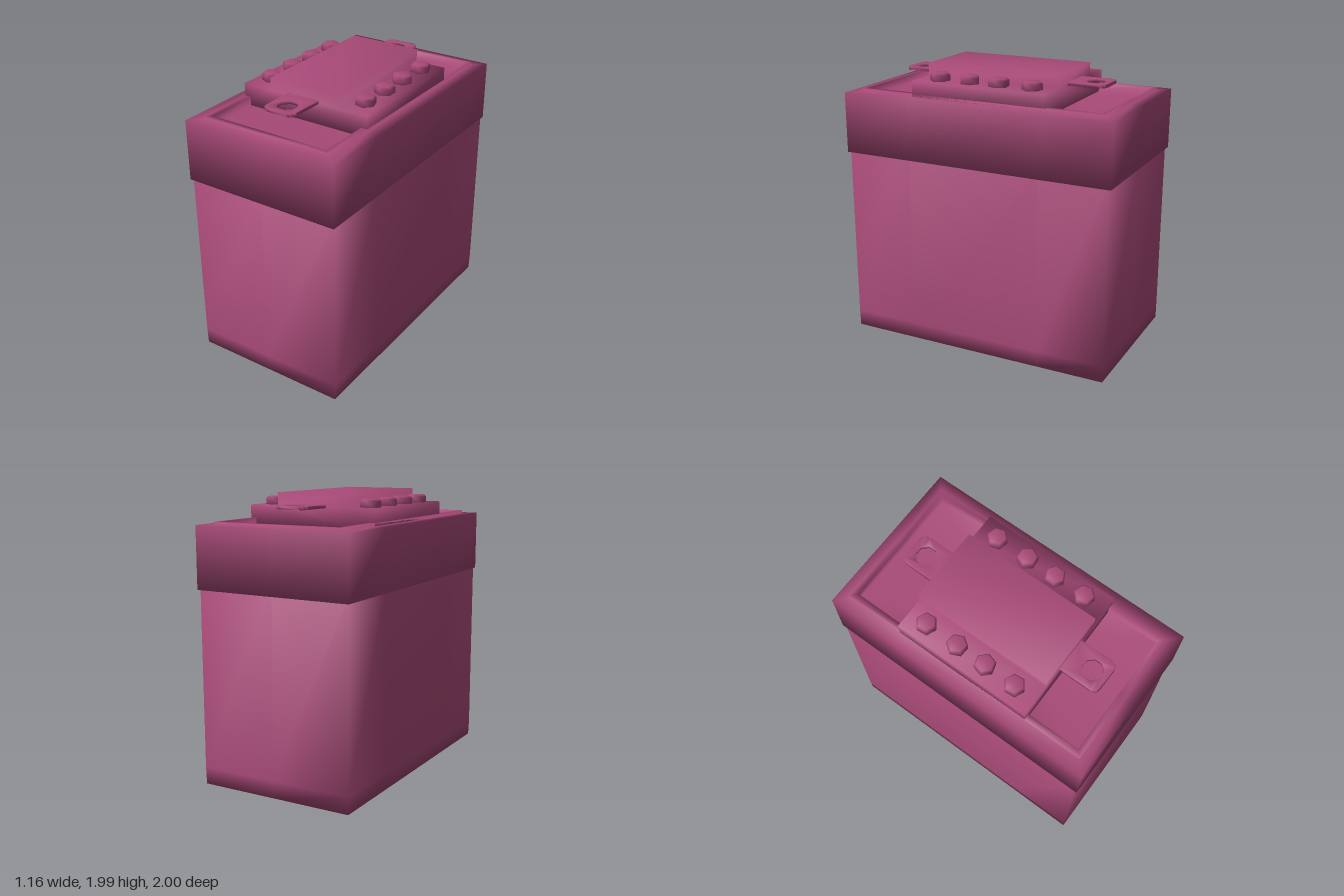
import * as THREE from 'three';
import { mergeVertices } from 'three/addons/utils/BufferGeometryUtils.js';

const material = new THREE.MeshStandardMaterial({ color: 0xa84a78 });

// Shares the vertices of a geometry so that it shades smoothly
function weld(geometry) {
  geometry.deleteAttribute('normal');
  geometry.deleteAttribute('uv');
  const welded = mergeVertices(geometry, 1e-4);
  welded.computeVertexNormals();
  return welded;
}

function part(parent, name, geometry) {
  const mesh = new THREE.Mesh(weld(geometry), material);
  mesh.name = name;
  parent.add(mesh);
  return mesh;
}

// Skins a stack of rectangles [halfX, halfZ, y] and closes both ends
function rectLoft(rings) {
  const outline = [[1, 1], [1, 0.5], [1, -0.5], [1, -1], [0, -1],
    [-1, -1], [-1, -0.5], [-1, 0.5], [-1, 1], [0, 1]];
  const n = outline.length, positions = [], index = [];
  for (const [hx, hz, y] of rings) {
    for (const [x, z] of outline) positions.push(x * hx, y, z * hz);
  }
  const last = (rings.length - 1) * n, bottom = rings.length * n, top = bottom + 1;
  positions.push(0, rings[0][2], 0, 0, rings[rings.length - 1][2], 0);
  for (let i = 0; i < n; i++) {
    const j = (i + 1) % n;
    for (let a = 0; a < last; a += n) {
      index.push(a + i, a + j, a + n + j, a + i, a + n + j, a + n + i);
    }
    index.push(bottom, j, i, top, last + i, last + j);
  }
  const geometry = new THREE.BufferGeometry();
  geometry.setAttribute('position', new THREE.Float32BufferAttribute(positions, 3));
  geometry.setIndex(index);
  return geometry;
}

// Flat lug with rounded outer corners and an octagonal hole, pointing to +z
function lugGeometry(length) {
  const w = 0.12, r = 0.05, start = 0.46;
  const shape = new THREE.Shape();
  shape.moveTo(-w, -start);
  shape.lineTo(-w, -length + r);
  shape.quadraticCurveTo(-w, -length, -w + r, -length);
  shape.lineTo(w - r, -length);
  shape.quadraticCurveTo(w, -length, w, -length + r);
  shape.lineTo(w, -start);
  const hole = [];
  for (let i = 0; i < 8; i++) {
    const a = (i + 0.5) * Math.PI / 4;
    hole.push(new THREE.Vector2(0.073 * Math.cos(a), 0.11 - length + 0.073 * Math.sin(a)));
  }
  shape.holes.push(new THREE.Path(hole));
  return new THREE.ExtrudeGeometry(shape, { depth: 0.022, bevelEnabled: false, curveSegments: 4 })
    .rotateX(-Math.PI / 2);
}

export function createModel() {
  const model = new THREE.Group();
  model.name = 'batteryCase';

  // Tall case, its top tucked inside the lid
  part(model, 'case', rectLoft([[0.565, 0.98, 0], [0.57, 0.98, 0.12], [0.57, 0.98, 1.4]]));

  // Overhanging lid with a raised lip around a shallow tray
  part(model, 'lid', rectLoft([
    [0.58, 1, 1.36], [0.58, 1, 1.79], [0.49, 0.92, 1.79],
    [0.49, 0.92, 1.81], [0.445, 0.88, 1.81], [0.445, 0.88, 1.75],
  ]));

  // Stepped block across the tray
  const profile = new THREE.Shape([
    [-0.49, 1.74], [0.49, 1.74], [0.49, 1.9], [0.265, 1.9],
    [0.265, 1.99], [-0.265, 1.99], [-0.265, 1.9], [-0.49, 1.9],
  ].map(([x, y]) => new THREE.Vector2(x, y)));
  part(model, 'terminalBlock',
    new THREE.ExtrudeGeometry(profile, { depth: 1, bevelEnabled: false }).translate(0, 0, -0.5));

  // Lugs at the front and back
  part(model, 'frontLug', lugGeometry(0.78)).position.y = 1.895;
  const backLug = part(model, 'backLug', lugGeometry(0.765));
  backLug.position.y = 1.895;
  backLug.rotation.y = Math.PI;

  // Hexagonal bolts along both steps
  const bolts = new THREE.Group();
  bolts.name = 'bolts';
  model.add(bolts);
  const boltProfile = [[0, -0.02], [0.07, -0.02], [0.072, 0.04], [0.058, 0.055], [0, 0.055]]
    .map(([r, y]) => new THREE.Vector2(r, y));
  for (const side of [-1, 1]) {
    [-0.355, -0.11, 0.11, 0.34].forEach((z, i) => {
      const bolt = part(bolts, 'bolt', new THREE.LatheGeometry(boltProfile, 6));
      bolt.position.set(side * 0.377, 1.9, z);
      bolt.rotation.y = 0.2 + i * 0.35 + side * 0.1;
    });
  }
  return model;
}
